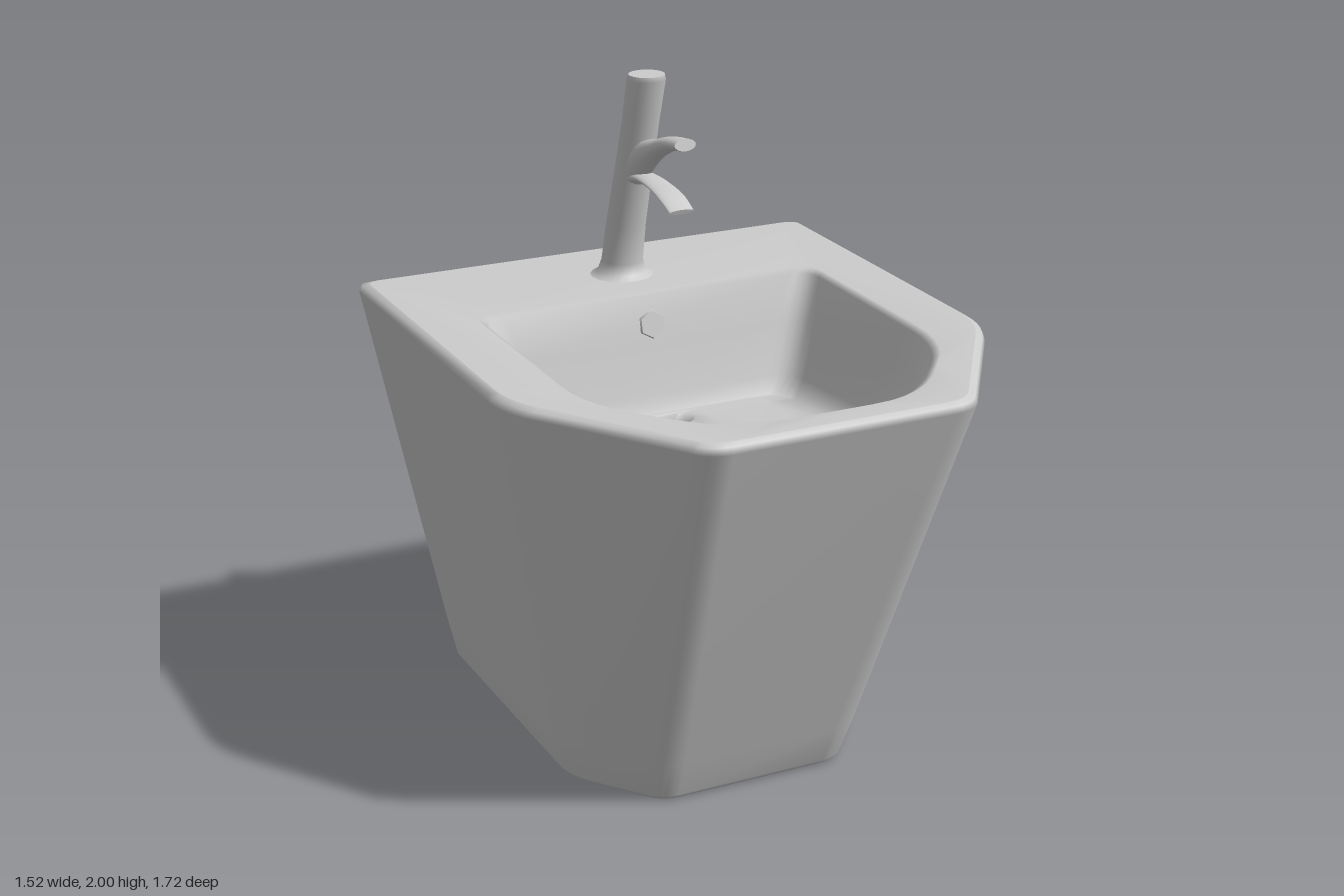
import * as THREE from 'three';

const V = (x, y, z) => new THREE.Vector3(x, y, z);

// Six-cornered mirrored outline with rounded corners; each half corner is [x, z, radius]
function outline(front, mid, back, y) {
  const half = [front, mid, back];
  const all = [...half, ...half.slice().reverse().map(([x, z, r]) => [-x, z, r])];
  const height = typeof y === 'function' ? y : () => y;
  const pts = [];
  all.forEach(([x, z, r], i) => {
    const c = new THREE.Vector2(x, z);
    const ends = [all[(i + 5) % 6], all[(i + 1) % 6]].map(([nx, nz]) => {
      const d = new THREE.Vector2(nx - x, nz - z);
      const len = d.length();
      return c.clone().addScaledVector(d, Math.min(r, len * 0.45) / len);
    });
    const curve = new THREE.QuadraticBezierCurve(ends[0], c, ends[1]);
    for (const p of curve.getPoints(5)) pts.push(V(p.x, height(p.y), p.y));
  });
  return pts;
}

// Skin a list of equal-length closed rings, optionally closing the last one with a flat cap
function loft(rings, cap = false) {
  const n = rings[0].length;
  const pos = rings.flat().flatMap((p) => [p.x, p.y, p.z]);
  const idx = [];
  for (let i = 0; i < rings.length - 1; i++) {
    for (let j = 0; j < n; j++) {
      const k = (j + 1) % n;
      const a = i * n + j, b = i * n + k, c = a + n, d = b + n;
      idx.push(a, b, d, a, d, c);
    }
  }
  if (cap) {
    const end = rings[rings.length - 1];
    const mid = end.reduce((s, p) => s.add(p), V(0, 0, 0)).divideScalar(n);
    const base = pos.length / 3;
    for (const p of [...end, mid]) pos.push(p.x, p.y, p.z);
    for (let j = 0; j < n; j++) idx.push(base + j, base + (j + 1) % n, base + n);
  }
  const g = new THREE.BufferGeometry();
  g.setAttribute('position', new THREE.Float32BufferAttribute(pos, 3));
  g.setIndex(idx);
  g.computeVertexNormals();
  return g;
}

// Curved branch in the x = 0 plane; each station is [z, y, halfWidth, halfThickness]
function branch(stations) {
  const path = new THREE.CatmullRomCurve3(stations.map(([z, y]) => V(0, y, z)));
  const steps = 16, rings = [];
  for (let i = 0; i <= steps; i++) {
    const t = i / steps, f = t * (stations.length - 1);
    const s = Math.min(Math.floor(f), stations.length - 2);
    const size = (k) => THREE.MathUtils.lerp(stations[s][k], stations[s + 1][k], f - s);
    const p = path.getPoint(t), tan = path.getTangent(t);
    const up = V(0, tan.z, -tan.y);
    rings.push(Array.from({ length: 16 }, (_, j) => {
      const a = (j / 16) * Math.PI * 2;
      return p.clone().addScaledVector(up, Math.sin(a) * size(3)).add(V(Math.cos(a) * size(2), 0, 0));
    }));
  }
  return loft(rings, true);
}

export function createModel() {
  const group = new THREE.Group();
  const ceramic = new THREE.MeshStandardMaterial({ color: 0xcccccc, side: THREE.DoubleSide });
  ceramic.name = 'light grey ceramic';
  const add = (name, geometry) => {
    const mesh = new THREE.Mesh(geometry, ceramic);
    mesh.name = name;
    group.add(mesh);
    return mesh;
  };

  // Tapering hollow body, open underneath, with a softened top edge
  const rimOuter = outline([0.38, 0.835, 0.06], [0.735, 0.31, 0.1], [0.735, -0.835, 0.04], 1.333);
  add('body', loft([
    outline([0.26, 0.27, 0.05], [0.44, 0.05, 0.07], [0.45, -0.82, 0.03], 0.02),
    outline([0.28, 0.305, 0.05], [0.465, 0.06, 0.07], [0.47, -0.85, 0.03], 0),
    outline([0.29, 0.325, 0.05], [0.485, 0.07, 0.07], [0.487, -0.86, 0.03], 0.02),
    outline([0.305, 0.38, 0.06], [0.515, 0.1, 0.09], [0.518, -0.86, 0.03], 0.15),
    outline([0.395, 0.86, 0.06], [0.76, 0.32, 0.1], [0.76, -0.86, 0.03], 1.305),
    outline([0.39, 0.855, 0.06], [0.753, 0.317, 0.1], [0.753, -0.854, 0.03], 1.325),
    rimOuter,
  ]));

  // Flat rim and basin, whose floor rises towards the front and ends at the drain opening
  const floorY = (z) => 0.97 + 0.22 * Math.max(0, (z + 0.15) / 0.75) ** 2;
  const wallY = (f) => (z) => THREE.MathUtils.lerp(1.32, floorY(z), f);
  add('rimAndBasin', loft([
    rimOuter,
    outline([0.29, 0.76, 0.16], [0.565, 0.42, 0.16], [0.565, -0.395, 0.07], 1.333),
    outline([0.28, 0.74, 0.16], [0.545, 0.41, 0.16], [0.545, -0.375, 0.07], 1.32),
    outline([0.26, 0.71, 0.18], [0.515, 0.36, 0.18], [0.505, -0.345, 0.08], wallY(0.4)),
    outline([0.24, 0.67, 0.2], [0.475, 0.3, 0.2], [0.455, -0.31, 0.08], wallY(0.85)),
    outline([0.22, 0.62, 0.2], [0.43, 0.25, 0.2], [0.415, -0.29, 0.08], floorY),
    outline([0.18, 0.45, 0.2], [0.34, 0.14, 0.2], [0.33, -0.285, 0.08], floorY),
    outline([0.12, 0.2, 0.1], [0.22, 0, 0.1], [0.2, -0.28, 0.06], floorY),
    outline([0.07, -0.08, 0.05], [0.13, -0.16, 0.06], [0.11, -0.278, 0.03], floorY),
    outline([0.05, -0.19, 0.02], [0.09, -0.23, 0.02], [0.06, -0.272, 0.02], 0.965),
    outline([0.045, -0.195, 0.02], [0.085, -0.23, 0.02], [0.055, -0.268, 0.02], 0.94),
  ]));

  // Overflow plate on the sloping back wall of the basin
  const overflow = add('overflow', new THREE.CylinderGeometry(0.042, 0.045, 0.009, 6));
  overflow.position.set(0, 1.235, -0.352);
  overflow.rotation.x = Math.PI / 2 - 0.2;

  // Leaning faucet column with a flared foot; each row is [y, z, radius]
  const column = [
    [1.331, -0.575, 0.1], [1.345, -0.575, 0.075], [1.38, -0.57, 0.064], [1.5, -0.54, 0.061],
    [1.7, -0.475, 0.057], [1.85, -0.425, 0.056], [1.985, -0.383, 0.058], [2, -0.38, 0.054],
  ];
  add('faucetColumn', loft(column.map(([y, z, r]) => Array.from({ length: 24 }, (_, j) => {
    const a = (j / 24) * Math.PI * 2;
    return V(Math.cos(a) * r, y, z - Math.sin(a) * r);
  })), true));

  // Upper and lower branches of the faucet
  add('upperBranch', branch([
    [-0.46, 1.69, 0.045, 0.05], [-0.39, 1.75, 0.042, 0.045], [-0.3, 1.795, 0.036, 0.028],
    [-0.21, 1.83, 0.034, 0.021], [-0.12, 1.848, 0.034, 0.018],
  ]));
  add('lowerBranch', branch([
    [-0.47, 1.67, 0.04, 0.03], [-0.39, 1.683, 0.036, 0.014], [-0.3, 1.682, 0.038, 0.01],
    [-0.21, 1.667, 0.042, 0.01], [-0.145, 1.642, 0.04, 0.008],
  ]));

  return group;
}
